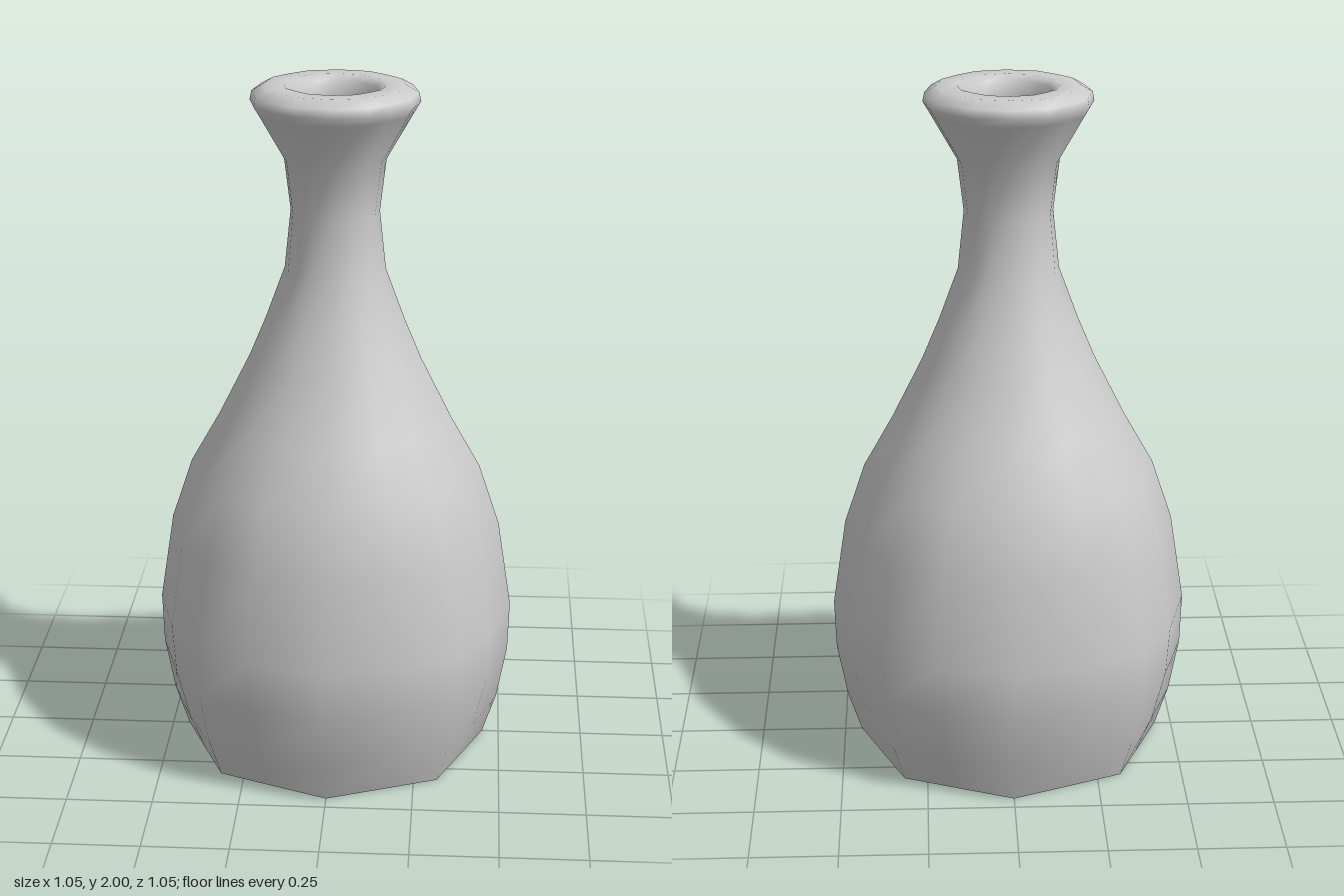
import * as THREE from 'three';

// Sixteen columns; each quarter turn repeats the same four angles (degrees)
const SIDES = 16;
const ANGLES = [0, 25.5, 45, 64.5];

// Cross-section styles: radius factor at the axis, between, and on the diagonal
const OCTAGON = [1, 0.926, 1, 0.926];
const ROUND = [1, 0.985, 1.015, 0.985];
const TWELVE = [1, 1.012, 0.975, 1.012];

// Blend two styles
const mix = (a, b, t) => a.map((v, i) => v + (b[i] - v) * t);

// Rings are [radius, height, style]; they are joined in order
function loft(rings) {
  const pos = [], index = [];
  for (const [r, y, style] of rings) {
    for (let k = 0; k < SIDES; k++) {
      const a = THREE.MathUtils.degToRad(ANGLES[k % 4] + 90 * Math.floor(k / 4));
      const d = r * style[k % 4];
      pos.push(d * Math.sin(a), y, d * Math.cos(a));
    }
  }
  for (let i = 0; i < rings.length - 1; i++) {
    for (let k = 0; k < SIDES; k++) {
      const a = i * SIDES + k, b = i * SIDES + (k + 1) % SIDES;
      index.push(a, b, b + SIDES, a, b + SIDES, a + SIDES);
    }
  }
  const g = new THREE.BufferGeometry();
  g.setAttribute('position', new THREE.Float32BufferAttribute(pos, 3));
  g.setIndex(index);
  g.computeVertexNormals();
  return g;
}

export function createModel() {
  const group = new THREE.Group();
  group.name = 'vase';
  const material = new THREE.MeshStandardMaterial({ color: 0xcccccc, side: THREE.DoubleSide });

  // Shell: open foot, full belly, slim neck, flared lip, then down inside the neck
  const shell = new THREE.Mesh(loft([
    [0.45, 0, OCTAGON],
    [0.49, 0.12, mix(OCTAGON, ROUND, 0.4)],
    [0.52, 0.28, mix(OCTAGON, ROUND, 0.8)],
    [0.525, 0.43, ROUND],
    [0.485, 0.69, ROUND],
    [0.425, 0.87, ROUND],
    [0.34, 1.02, ROUND],
    [0.25, 1.2, ROUND],
    [0.2, 1.32, ROUND],
    [0.145, 1.47, mix(ROUND, TWELVE, 0.5)],
    [0.127, 1.64, TWELVE],
    [0.145, 1.79, TWELVE],
    [0.225, 1.93, TWELVE],
    [0.24, 1.955, TWELVE],
    [0.235, 1.98, TWELVE],
    [0.2, 2, TWELVE],
    [0.145, 2, TWELVE],
    [0.122, 1.985, TWELVE],
    [0.112, 1.94, TWELVE],
    [0.108, 1.79, TWELVE],
    [0.092, 1.64, TWELVE],
    [0.11, 1.47, TWELVE],
  ]), material);
  shell.name = 'vaseShell';
  group.add(shell);
  return group;
}
